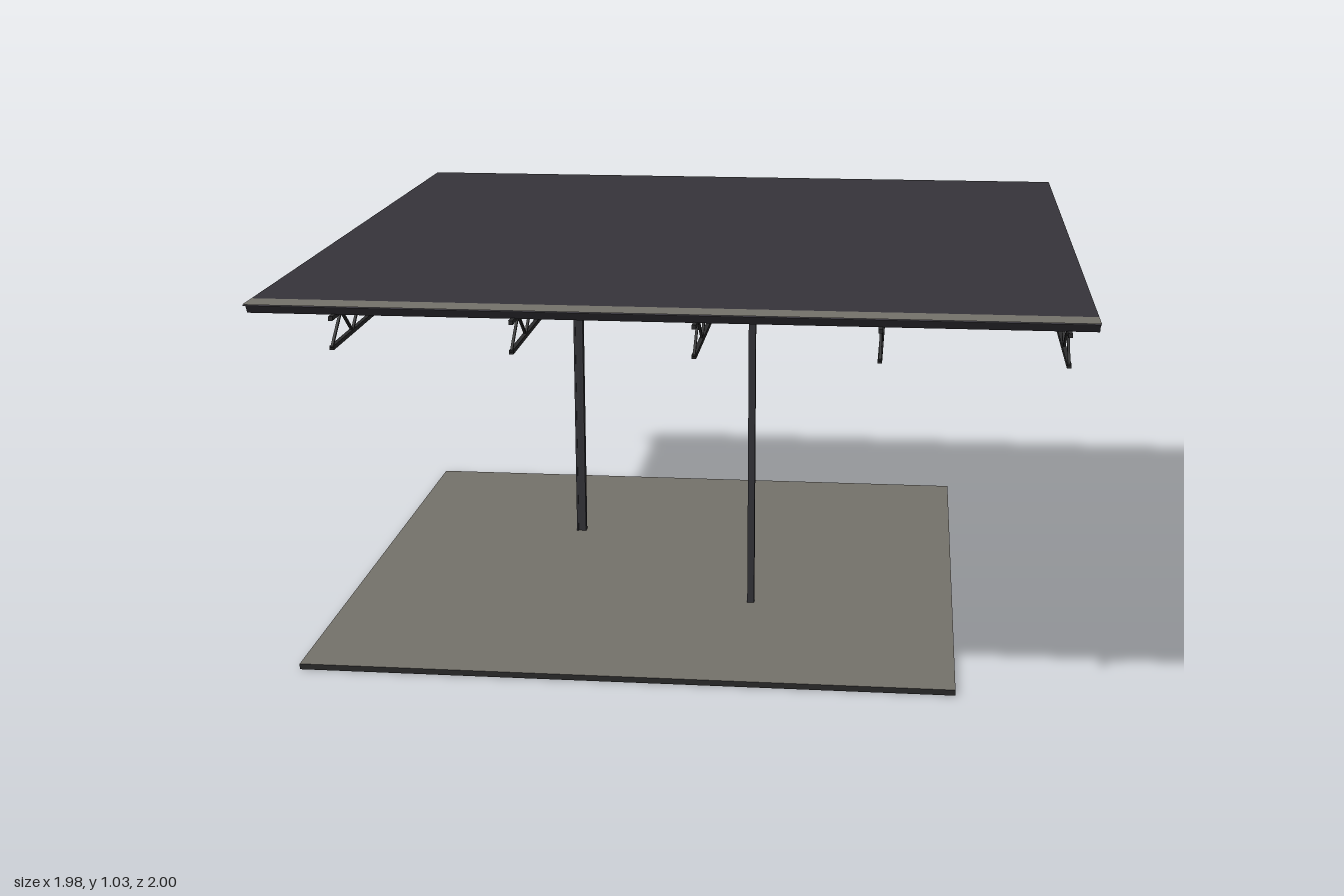
import * as THREE from 'three';

const paint = (name, color, side = THREE.FrontSide) => {
  const m = new THREE.MeshStandardMaterial({ color, side });
  m.name = name;
  return m;
};

export function createModel() {
  const steel = paint('dark steel', 0x2b2b2c);
  const columnSteel = paint('column steel', 0x35353a);
  const roofing = paint('charcoal roofing', 0x36343a, THREE.DoubleSide);
  const concrete = paint('concrete grey', 0x75726b, THREE.DoubleSide);

  const model = new THREE.Group();
  model.name = 'canopy';

  const add = (parent, name, geometry, material, x = 0, y = 0, z = 0) => {
    const mesh = new THREE.Mesh(geometry, material);
    mesh.name = name;
    mesh.position.set(x, y, z);
    parent.add(mesh);
    return mesh;
  };

  // Square bar between two points
  const bar = (parent, name, a, b, size) => {
    const from = new THREE.Vector3(...a), to = new THREE.Vector3(...b);
    const mesh = add(parent, name, new THREE.BoxGeometry(size, size, from.distanceTo(to)), steel);
    mesh.position.copy(from).add(to).multiplyScalar(0.5);
    mesh.lookAt(to);
  };

  // Floor slab: grey faces, dark rim
  add(model, 'floorSlab', new THREE.BoxGeometry(1.69, 0.015, 1.7),
    [steel, steel, concrete, concrete, steel, steel], -0.145, 0.0075, -0.13);

  // Columns: slim front post, wider flanged back post
  const postHeight = 1.012, postY = 0.015 + postHeight / 2;
  add(model, 'frontColumn', new THREE.BoxGeometry(0.019, postHeight, 0.018), columnSteel, 0.138, postY, 0.15);
  const back = new THREE.Group();
  back.name = 'backColumn';
  back.position.set(-0.433, postY, -0.42);
  model.add(back);
  add(back, 'columnCore', new THREE.BoxGeometry(0.02, postHeight, 0.018), columnSteel);
  for (const s of [-1, 1]) {
    add(back, 'columnFlange', new THREE.BoxGeometry(0.005, postHeight, 0.024), columnSteel, s * 0.0115);
  }

  // Roof trusses running front to back, with a zigzag web
  const low = 0.93, high = 1.0, zFront = 0.995, zBack = -0.98, peaks = 11;
  const step = (zFront - zBack) / (peaks * 2);
  for (let t = 0; t < 5; t++) {
    const x = -0.78 + t * 0.425;
    const truss = new THREE.Group();
    truss.name = 'roofTruss';
    model.add(truss);
    bar(truss, 'topChord', [x, high, zFront], [x, high, zBack], 0.01);
    bar(truss, 'bottomChord', [x, low, zFront], [x, low, zBack], 0.01);
    for (let i = 0; i < peaks * 2; i++) {
      const z = zFront - i * step;
      const up = i % 2 === 0;
      bar(truss, 'webDiagonal', [x, up ? low : high, z], [x, up ? high : low, z - step], 0.006);
    }
  }

  // Edge truss across the back, with uprights and diagonals
  const edge = new THREE.Group();
  edge.name = 'backEdgeTruss';
  model.add(edge);
  const x0 = -0.99, x1 = 0.987, cells = 19, cell = (x1 - x0) / cells;
  bar(edge, 'topChord', [x0, high, zBack], [x1, high, zBack], 0.01);
  bar(edge, 'bottomChord', [x0, low, zBack], [x1, low, zBack], 0.01);
  for (let i = 0; i <= cells; i++) {
    const x = x0 + i * cell;
    bar(edge, 'upright', [x, low, zBack], [x, high, zBack], 0.006);
    if (i === cells) break;
    const up = i % 2 === 0;
    bar(edge, 'diagonal', [x, up ? low : high, zBack], [x + cell, up ? high : low, zBack], 0.006);
  }

  // Ribbed decking: a sheet folded into a trapezoid profile along z
  const ribs = 26, width = 1.975;
  const sheet = new THREE.PlaneGeometry(width, 2, 1, ribs * 4).rotateX(-Math.PI / 2);
  const offset = [0, 0.2, 0.55, 0.75], height = [1.027, 1.003, 1.003, 1.027];
  const p = sheet.attributes.position;
  for (let i = 0; i < p.count; i++) {
    const row = Math.floor(i / 2), k = row % 4;
    p.setY(i, height[k]);
    p.setZ(i, -1 + (Math.floor(row / 4) + offset[k]) * (2 / ribs));
  }
  const deck = sheet.toNonIndexed();
  deck.computeVertexNormals();
  add(model, 'ribbedDecking', deck, roofing);

  // Flat roof cover, bare front strip and back fascia
  const flat = (name, depth, z, material) =>
    add(model, name, new THREE.PlaneGeometry(width, depth).rotateX(-Math.PI / 2), material, 0, 1.03, z);
  flat('roofCover', 1.93, -0.035, roofing);
  flat('frontRoofStrip', 0.07, 0.965, concrete);
  add(model, 'backFascia', new THREE.BoxGeometry(width, 0.03, 0.004), roofing, 0, 1.015, -0.985);

  return model;
}
